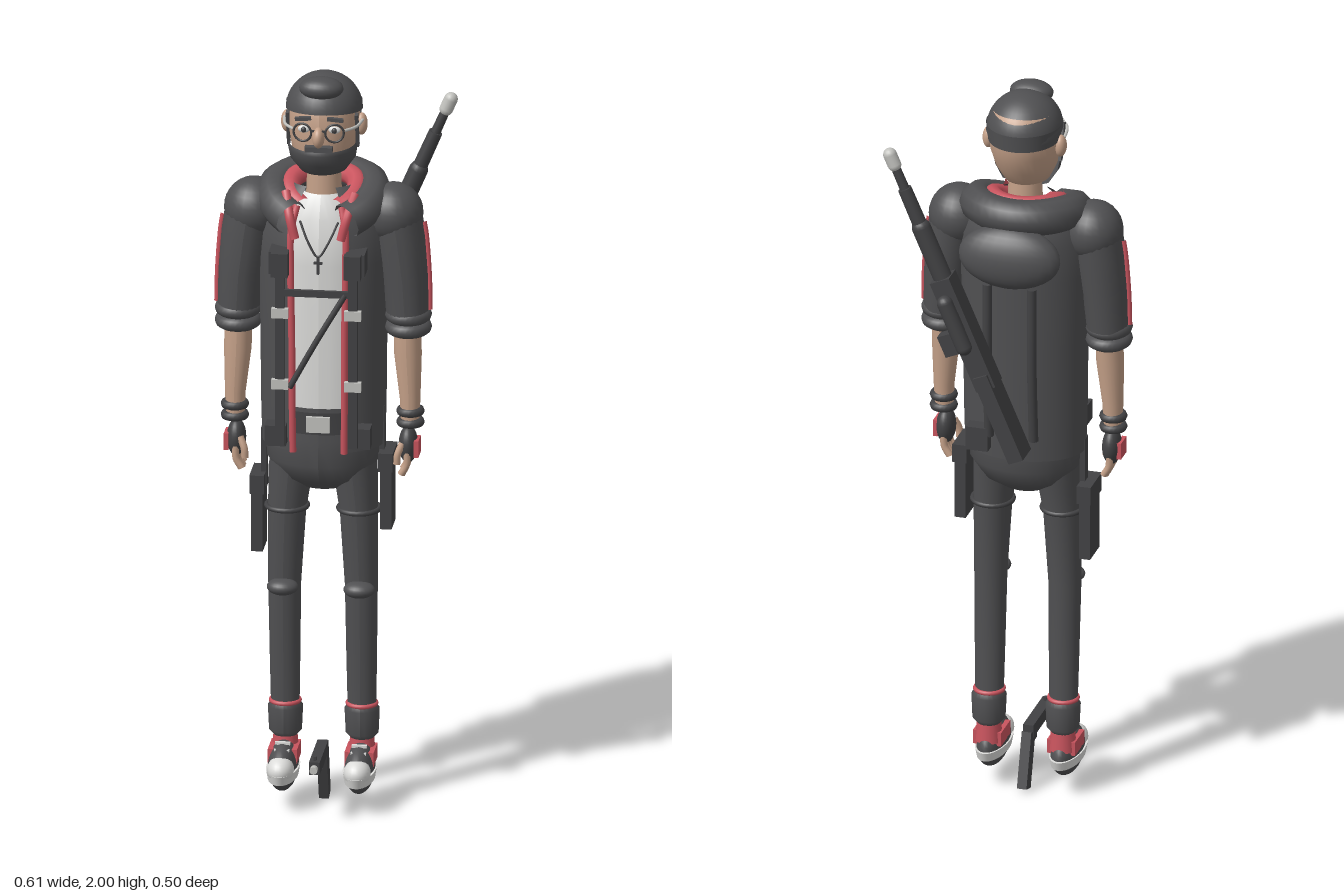
import * as THREE from 'three';

const mat = (name, color, side = THREE.FrontSide) => {
  const m = new THREE.MeshStandardMaterial({ color, side });
  m.name = name;
  return m;
};

export function createModel() {
  const dark = mat('charcoal cloth', 0x505052, THREE.DoubleSide);
  const black = mat('dark straps', 0x424244);
  const red = mat('red trim', 0xc9545e);
  const skin = mat('skin', 0xc4a088);
  const white = mat('white cloth', 0xdcdcda);
  const grey = mat('light metal', 0xc2c2be);
  const root = new THREE.Group(), body = new THREE.Group();
  body.name = 'body';
  body.position.x = -0.03;
  root.add(body);

  const add = (name, geo, m, x = 0, y = 0, z = 0, parent = body) => {
    const mesh = new THREE.Mesh(geo, m);
    mesh.name = name;
    mesh.position.set(x, y, z);
    parent.add(mesh);
    return mesh;
  };
  const box = (name, m, w, h, d, x, y, z, parent) => add(name, new THREE.BoxGeometry(w, h, d), m, x, y, z, parent);
  const ball = (name, m, rx, ry, rz, x, y, z, parent) =>
    add(name, new THREE.SphereGeometry(1, 24, 16).scale(rx, ry, rz), m, x, y, z, parent);
  const tube = (name, m, pts, r, parent) =>
    add(name, new THREE.TubeGeometry(new THREE.CatmullRomCurve3(pts.map(p => new THREE.Vector3(...p))), 32, r, 10), m, 0, 0, 0, parent);
  const rod = (name, m, r1, r2, y0, y1, z, parent) =>
    add(name, new THREE.CylinderGeometry(r2, r1, y1 - y0, 16), m, 0, (y0 + y1) / 2, z, parent);

  // Skin elliptical rings [y, x, z, rx, rz] into a surface; gap leaves a front opening, angle 0 is +z
  const loft = (rings, gap = 0, seg = 32) => {
    const pos = [], idx = [];
    for (const [y, x, z, rx, rz] of rings)
      for (let i = 0; i <= seg; i++) {
        const a = gap + (i / seg) * (2 * Math.PI - 2 * gap);
        pos.push(x + rx * Math.sin(a), y, z + rz * Math.cos(a));
      }
    for (let j = 0; j < rings.length - 1; j++)
      for (let i = 0; i < seg; i++) {
        const a = j * (seg + 1) + i, b = a + seg + 1;
        idx.push(a, a + 1, b, a + 1, b + 1, b);
      }
    const g = new THREE.BufferGeometry();
    g.setAttribute('position', new THREE.Float32BufferAttribute(pos, 3));
    g.setIndex(idx);
    g.computeVertexNormals();
    return g;
  };

  // Jacket, shirt and hips
  const coat = [[0.99, 0, 0.025, 0.16, 0.12], [1.1, 0, 0.025, 0.163, 0.124], [1.3, 0, 0.025, 0.165, 0.128],
    [1.5, 0, 0.025, 0.172, 0.13], [1.6, 0, 0.022, 0.17, 0.128], [1.66, 0, 0.015, 0.14, 0.11], [1.7, 0, 0.01, 0.09, 0.08]];
  const gap = 0.43;
  add('jacket', loft(coat, gap, 48), dark);
  add('shirt', loft([[1.09, 0, 0.025, 0.14, 0.112], [1.5, 0, 0.025, 0.15, 0.117], [1.62, 0, 0.025, 0.13, 0.1],
    [1.68, 0, 0.025, 0.06, 0.06]]), white);
  add('hips', loft([[0.87, 0, 0.03, 0.06, 0.05], [0.9, 0, 0.03, 0.115, 0.09], [0.95, 0, 0.03, 0.148, 0.115],
    [1.02, 0, 0.028, 0.15, 0.113], [1.11, 0, 0.028, 0.145, 0.112]]), dark);
  add('belt', loft([[1.04, 0, 0.028, 0.153, 0.117], [1.1, 0, 0.028, 0.153, 0.117]]), black);
  box('beltBuckle', grey, 0.062, 0.042, 0.012, 0, 1.07, 0.148);

  // Neck, collar lining and hood
  add('neck', new THREE.CylinderGeometry(0.042, 0.048, 0.14, 20), skin, 0, 1.71, 0.02);
  const arc = (r, y, drop, cz) => Array.from({ length: 13 }, (_, i) => {
    const a = 0.6 + (i / 12) * (2 * Math.PI - 1.2);
    return [r * Math.sin(a), y - drop * (1 + Math.cos(a)) ** 2 / 4, cz + r * 0.95 * Math.cos(a)];
  });
  tube('hood', dark, arc(0.128, 1.685, 0.07, 0.03), 0.047);
  tube('hoodLining', red, arc(0.088, 1.7, 0.06, 0.03), 0.027);
  ball('hoodBag', dark, 0.137, 0.085, 0.055, 0, 1.585, -0.122).rotation.x = 0.15;

  // Necklace
  tube('necklace', black, [[-0.05, 1.62, 0.125], [-0.025, 1.565, 0.143], [0, 1.53, 0.148], [0.025, 1.565, 0.143], [0.05, 1.62, 0.125]], 0.003);
  box('pendantBar', black, 0.006, 0.045, 0.006, 0, 1.505, 0.147);
  box('pendantArm', black, 0.022, 0.006, 0.006, 0, 1.513, 0.147);

  // Harness crossing the chest
  tube('diagonalStrap', black, [[0.075, 1.44, 0.178], [0, 1.31, 0.18], [-0.07, 1.18, 0.178]], 0.008);
  box('chestStrap', black, 0.19, 0.018, 0.01, 0, 1.44, 0.178);

  // Rucksack-like back details
  box('backPouch', black, 0.06, 0.065, 0.04, 0.09, 1.05, -0.1);

  for (const s of [-1, 1]) {
    const side = new THREE.Group();
    side.name = s > 0 ? 'leftSide' : 'rightSide';
    body.add(side);
    const p = (name, m, w, h, d, x, y, z) => box(name, m, w, h, d, s * x, y, z, side);
    const b = (name, m, rx, ry, rz, x, y, z) => ball(name, m, rx, ry, rz, s * x, y, z, side);
    const l = (name, m, rings) => add(name, loft(rings.map(([y, x, ...r]) => [y, s * x, ...r]), 0, 24), m, 0, 0, 0, side);
    const t = (name, m, pts, r) => tube(name, m, pts.map(([x, ...q]) => [s * x, ...q]), r, side);

    // Jacket edge piping, straps, clips and pouches
    t('jacketPiping', red, coat.slice(0, 6).map(([y, x, z, rx, rz]) => [rx * Math.sin(gap), y, z + rz * Math.cos(gap) + 0.004]), 0.009);
    t('collarFold', red, [[0.06, 1.58, 0.152], [0.075, 1.64, 0.145], [0.09, 1.69, 0.1]], 0.012);
    p('harnessStrap', black, 0.024, 0.5, 0.012, 0.095, 1.27, 0.178);
    p('harnessBlock', black, 0.044, 0.065, 0.028, 0.095, 1.52, 0.187);
    p('harnessMount', black, 0.05, 0.06, 0.07, 0.1, 1.52, 0.145);
    for (const y of [1.385, 1.19]) p('harnessClip', grey, 0.044, 0.026, 0.016, 0.095, y, 0.182);
    p('lowerPouch', black, 0.055, 0.055, 0.05, 0.11, 1.04, 0.14);
    t('backRod', black, [[0.06, 1.06, -0.106], [0.06, 1.28, -0.122], [0.06, 1.5, -0.122]], 0.013);

    // Arm with rolled sleeve
    b('shoulder', dark, 0.078, 0.08, 0.08, 0.182, 1.62, 0.028);
    l('sleeve', dark, [[1.35, 0.22, 0.034, 0.056, 0.064], [1.45, 0.214, 0.032, 0.06, 0.07], [1.56, 0.2, 0.03, 0.066, 0.074],
      [1.64, 0.188, 0.028, 0.066, 0.072]]);
    t('sleeveStripe', red, [[0.278, 1.36, 0.034], [0.276, 1.45, 0.032], [0.268, 1.56, 0.03], [0.262, 1.6, 0.03]], 0.007);
    for (const y of [1.312, 1.346]) {
      const cuff = add('sleeveCuff', new THREE.TorusGeometry(0.042, 0.019, 10, 28), dark, s * 0.222, y, 0.036, side);
      cuff.rotation.x = Math.PI / 2;
      cuff.scale.y = 1.08;
    }
    l('forearm', skin, [[1.05, 0.228, 0.05, 0.024, 0.027], [1.12, 0.228, 0.049, 0.027, 0.03], [1.24, 0.222, 0.045, 0.036, 0.037],
      [1.33, 0.22, 0.04, 0.036, 0.038]]);
    for (const y of [1.055, 1.085])
      add('wristBand', new THREE.TorusGeometry(0.025, 0.012, 8, 20), black, s * 0.229, y, 0.05, side).rotation.x = Math.PI / 2;
    b('glove', black, 0.025, 0.05, 0.036, 0.224, 0.995, 0.055);
    p('gloveGuard', red, 0.012, 0.045, 0.05, 0.248, 0.99, 0.06);
    for (let i = 0; i < 4; i++) {
      const z = 0.032 + i * 0.016;
      t('finger', skin, [[0.224, 0.98, z], [0.222, 0.945, z], [0.208, 0.912 + Math.abs(i - 1.5) * 0.005, z]], 0.0095);
    }
    t('thumb', skin, [[0.212, 1.005, 0.08], [0.2, 0.975, 0.088], [0.198, 0.95, 0.088]], 0.0095);

    // Leg, knee pad and cuff
    l('trouserLeg', dark, [[0.24, 0.1, 0.03, 0.037, 0.033], [0.4, 0.1, 0.036, 0.04, 0.036], [0.6, 0.1, 0.043, 0.043, 0.043],
      [0.8, 0.094, 0.042, 0.05, 0.053], [0.9, 0.085, 0.036, 0.057, 0.065], [0.97, 0.08, 0.034, 0.06, 0.07]]);
    b('kneePad', dark, 0.041, 0.022, 0.034, 0.1, 0.6, 0.087);
    l('trouserCuff', dark, [[0.175, 0.1, 0.026, 0.03, 0.03], [0.19, 0.1, 0.026, 0.043, 0.042], [0.255, 0.1, 0.027, 0.046, 0.045],
      [0.27, 0.1, 0.028, 0.036, 0.034]]);
    add('cuffTrim', new THREE.TorusGeometry(0.037, 0.006, 8, 24), red, s * 0.1, 0.27, 0.03, side).rotation.x = Math.PI / 2;
    const strap = add('thighStrap', new THREE.TorusGeometry(0.053, 0.007, 8, 24), black, s * 0.094, 0.81, 0.042, side);
    strap.rotation.x = Math.PI / 2;

    // Thigh holster, lower on the right leg
    const hy = s < 0 ? 0.79 : 0.865;
    p('holster', black, 0.03, 0.2, 0.085, 0.168, hy, 0.035);
    p('holsterFlap', black, 0.038, 0.05, 0.1, 0.168, hy + 0.085, 0.035);
    p('holsterHanger', black, 0.014, 0.16, 0.03, 0.154, hy + 0.15, 0.035);

    // Shoe
    b('shoeUpper', dark, 0.039, 0.065, 0.09, 0.1, 0.105, 0.07);
    b('toeCap', white, 0.035, 0.035, 0.045, 0.1, 0.112, 0.13);
    add('sole', new THREE.CylinderGeometry(0.043, 0.039, 0.026, 28).scale(1, 1, 2.4), white, s * 0.1, 0.093, 0.075, side);
    add('shoeCollar', new THREE.CylinderGeometry(0.03, 0.036, 0.07, 20), red, s * 0.1, 0.16, 0.026, side);
    p('shoePanel', red, 0.076, 0.038, 0.085, 0.1, 0.135, 0.05);
    for (const z of [0.085, 0.105]) p('lace', white, 0.04, 0.007, 0.01, 0.1, 0.169 - (z - 0.085) * 0.7, z);

    // Ear, eye, brow and glasses
    b('ear', skin, 0.016, 0.03, 0.02, 0.097, 1.855, 0.015);
    b('eyeWhite', white, 0.016, 0.01, 0.008, 0.04, 1.872, 0.122);
    b('pupil', black, 0.007, 0.008, 0.006, 0.04, 1.872, 0.128);
    p('eyebrow', dark, 0.042, 0.009, 0.012, 0.042, 1.9, 0.122).rotation.z = -s * 0.08;
    add('glassesRim', new THREE.TorusGeometry(0.024, 0.003, 8, 24), black, s * 0.042, 1.868, 0.138, side).rotation.y = s * 0.2;
    t('glassesArm', grey, [[0.066, 1.874, 0.132], [0.092, 1.872, 0.09], [0.103, 1.87, 0.02]], 0.004);
    p('sideburn', dark, 0.008, 0.1, 0.016, 0.09, 1.85, 0.05).rotation.x = 0.3;
  }

  // Head
  add('head', loft([[1.735, 0, 0.045, 0.03, 0.04], [1.75, 0, 0.04, 0.06, 0.07], [1.79, 0, 0.032, 0.08, 0.088], [1.84, 0, 0.022, 0.09, 0.105],
    [1.9, 0, 0.016, 0.094, 0.108], [1.95, 0, 0.016, 0.082, 0.09], [1.975, 0, 0.016, 0.04, 0.05]]), skin);
  const hair = add('hair', new THREE.SphereGeometry(1, 32, 12, 0, Math.PI * 2, 0, Math.PI / 2).scale(0.1, 0.097, 0.107), dark, 0, 1.896, 0.016);
  hair.rotation.x = -0.13;
  add('hairBack', loft([[1.87, 0, 0.014, 0.094, 0.106], [1.915, 0, 0.014, 0.099, 0.109]], 1.5), dark);
  ball('quiff', dark, 0.058, 0.03, 0.04, 0, 1.97, 0.078);
  ball('nose', skin, 0.016, 0.028, 0.024, 0, 1.855, 0.14);
  box('glassesBridge', black, 0.036, 0.005, 0.005, 0, 1.874, 0.144);

  // Beard wraps the lower face, open at the back
  const beard = loft([[1.728, 0, 0.06, 0.02, 0.03], [1.74, 0, 0.05, 0.062, 0.076], [1.775, 0, 0.04, 0.085, 0.1],
    [1.805, 0, 0.034, 0.09, 0.103], [1.815, 0, 0.03, 0.086, 0.095]], 1.45);
  add('beard', beard.rotateY(Math.PI).translate(0, 0, 0.08), dark);
  box('moustache', dark, 0.072, 0.014, 0.02, 0, 1.822, 0.134);
  box('mouth', skin, 0.04, 0.012, 0.012, 0, 1.806, 0.137);

  // Rifle slung across the back, built upright from its butt
  const rifle = new THREE.Group();
  rifle.name = 'rifle';
  rifle.position.set(-0.075, 1.045, -0.18);
  rifle.rotation.z = -0.405;
  root.add(rifle);
  box('stock', black, 0.042, 0.25, 0.075, 0, 0.125, 0, rifle);
  box('receiver', black, 0.056, 0.32, 0.06, 0, 0.37, 0, rifle);
  box('magazine', black, 0.06, 0.06, 0.035, 0.045, 0.35, 0, rifle);
  add('foreGrip', new THREE.CapsuleGeometry(0.025, 0.15, 6, 16), black, 0, 0.6, 0, rifle);
  rod('barrel', black, 0.021, 0.018, 0.5, 0.79, 0, rifle);
  rod('muzzleTube', black, 0.013, 0.012, 0.78, 0.87, 0, rifle);
  add('muzzle', new THREE.CapsuleGeometry(0.018, 0.03, 6, 16), grey, 0, 0.875, 0, rifle);
  add('scope', new THREE.CapsuleGeometry(0.021, 0.13, 6, 16), black, 0, 0.41, -0.051, rifle);
  box('scopeMount', black, 0.028, 0.05, 0.02, 0, 0.41, -0.03, rifle);

  // Pistol between the feet
  const pistol = new THREE.Group();
  pistol.name = 'pistol';
  body.add(pistol);
  box('slide', black, 0.028, 0.034, 0.18, 0, 0.152, 0.135, pistol);
  box('pistolGrip', black, 0.026, 0.15, 0.04, 0, 0.078, 0.028, pistol).rotation.x = 0.3;
  box('triggerGuard', black, 0.012, 0.03, 0.04, 0, 0.125, 0.085, pistol);
  box('frontSight', black, 0.008, 0.012, 0.012, 0, 0.173, 0.205, pistol);
  rod('pistolMuzzle', grey, 0.01, 0.01, 0.141, 0.163, 0.233, pistol).rotation.x = Math.PI / 2;
  return root;
}
